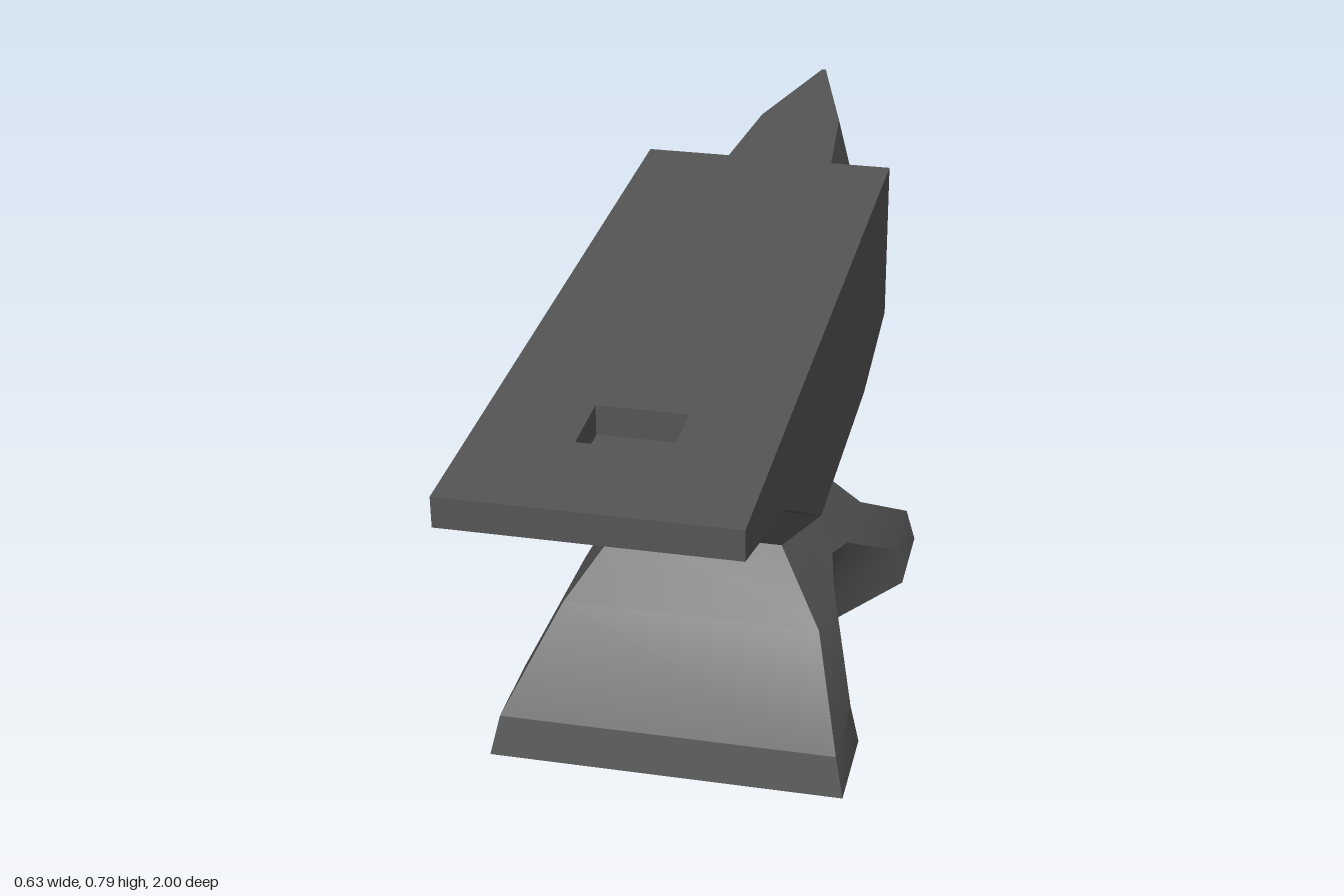
import * as THREE from 'three';
import { toCreasedNormals } from 'three/addons/utils/BufferGeometryUtils.js';

const HALF_WIDTH = 0.234;
const steel = new THREE.MeshStandardMaterial({ color: 0x555555 });

// Skins a row of equal-length point rings and closes both ends.
function loft(rings, crease) {
  const n = rings[0].length;
  const position = [];
  const tri = (a, b, c) => position.push(...a, ...b, ...c);
  const centre = (ring) => [0, 1, 2].map((k) => ring.reduce((s, p) => s + p[k], 0) / n);
  const first = rings[0], last = rings[rings.length - 1];
  const firstCentre = centre(first), lastCentre = centre(last);
  for (let j = 0; j < n; j++) {
    const k = (j + 1) % n;
    for (let i = 0; i < rings.length - 1; i++) {
      const low = rings[i], high = rings[i + 1];
      tri(low[j], high[j], high[k]);
      tri(low[j], high[k], low[k]);
    }
    tri(firstCentre, first[j], first[k]);
    tri(lastCentre, last[k], last[j]);
  }
  const geometry = new THREE.BufferGeometry();
  geometry.setAttribute('position', new THREE.Float32BufferAttribute(position, 3));
  return toCreasedNormals(geometry, crease);
}

function shapeOf(points) {
  return new THREE.Shape(points.map(([x, y]) => new THREE.Vector2(x, y)));
}

// One level of the base: a rectangle whose long sides are pinched in the middle.
function baseRing({ y, w, d, e, m, mz, c, my = y, cy = y }) {
  const quarter = [[m, my, mz], [w, y, e], [w, y, d]];
  const flip = (sx, sz) => quarter.map(([x, h, z]) => [x * sx, h, z * sz]);
  const ring = [
    [c, cy, 0], ...flip(1, 1), ...flip(-1, 1).reverse(),
    [-c, cy, 0], ...flip(-1, -1), ...flip(1, -1).reverse(),
  ];
  return ring.map(([x, h, z]) => [x, h, z + 0.105]);
}

export function createModel() {
  const group = new THREE.Group();
  const add = (name, geometry) => {
    const mesh = new THREE.Mesh(geometry, steel);
    mesh.name = name;
    group.add(mesh);
    return mesh;
  };

  // Flared base with four feet, an arch on each side and a narrow waist
  add('base', loft([
    { y: 0, w: 0.316, d: 0.445, e: 0.272, m: 0.2, mz: 0.08, c: 0.186, my: 0.012, cy: 0.015 },
    { y: 0.073, w: 0.3, d: 0.428, e: 0.272, m: 0.205, mz: 0.08, c: 0.19 },
    { y: 0.197, w: HALF_WIDTH, d: 0.232, e: 0.077, m: HALF_WIDTH, mz: 0.077, c: 0.218, cy: 0.218 },
    { y: 0.315, w: 0.15, d: 0.15, e: 0.05, m: 0.15, mz: 0.05, c: 0.15 },
    { y: 0.435, w: HALF_WIDTH, d: 0.235, e: 0.078, m: HALF_WIDTH, mz: 0.078, c: HALF_WIDTH },
  ].map(baseRing), 0.6));

  // Body: side profile (z, y) extruded across the width
  const body = new THREE.ExtrudeGeometry(shapeOf([
    [1, 0.738], [-0.378, 0.738], [-0.378, 0.485], [-0.13, 0.435], [0.34, 0.435], [0.69, 0.647],
  ]), { depth: HALF_WIDTH * 2, bevelEnabled: false });
  body.translate(0, 0, -HALF_WIDTH).rotateY(-Math.PI / 2);
  add('body', body);

  // Flat face with its square tool hole
  const faceShape = shapeOf([
    [-HALF_WIDTH, -0.378], [HALF_WIDTH, -0.378], [HALF_WIDTH, 1], [-HALF_WIDTH, 1],
  ]);
  faceShape.holes.push(shapeOf([[-0.07, 0.675], [-0.07, 0.797], [0.08, 0.797], [0.08, 0.675]]));
  const face = new THREE.ExtrudeGeometry(faceShape, { depth: 0.052, bevelEnabled: false });
  face.rotateX(Math.PI / 2).translate(0, 0.79, 0);
  add('face', face);

  // Step plate between body and horn
  add('stepPlate', new THREE.BoxGeometry(0.406, 0.25, 0.06)).position.set(0, 0.639, -0.398);

  // Horn: trapezoid sections [z, top half-width, bottom half-width, top y, bottom y]
  add('horn', loft([
    [-0.42, 0.11, 0.148, 0.742, 0.588],
    [-0.72, 0.08, 0.105, 0.745, 0.645],
    [-1, 0.004, 0.006, 0.748, 0.742],
  ].map(([z, t, b, top, bottom]) => [[b, bottom, z], [t, top, z], [-t, top, z], [-b, bottom, z]]), 0.1));

  return group;
}
